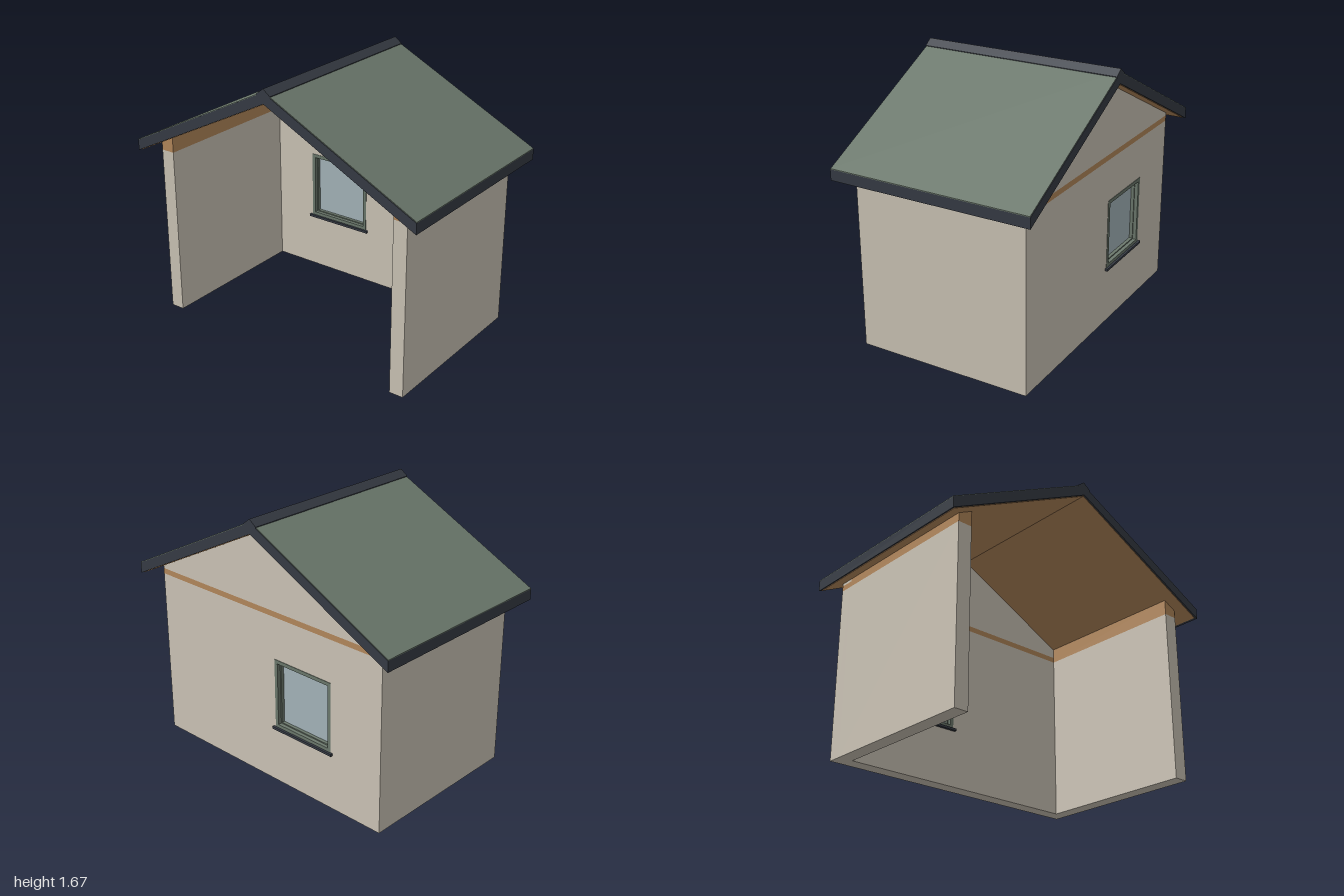
import * as THREE from 'three';

const material = (name, color, side = THREE.FrontSide) => {
  const m = new THREE.MeshStandardMaterial({ color, side });
  m.name = name;
  return m;
};

export function createModel() {
  const group = new THREE.Group();
  const plaster = material('plaster', 0xcec6b8);
  const wood = material('wood', 0xb5895c);
  const slate = material('slate', 0x373c45);
  const green = material('green', 0x6c796d);
  const glass = material('glass', 0xa6b6bc);

  const add = (name, geometry, mat) => {
    const mesh = new THREE.Mesh(geometry, mat);
    mesh.name = name;
    group.add(mesh);
    return mesh;
  };
  // Box given by its lower and upper limits on each axis
  const box = (name, mat, x0, x1, y0, y1, z0, z1) => {
    const mesh = add(name, new THREE.BoxGeometry(x1 - x0, y1 - y0, z1 - z0), mat);
    mesh.position.set((x0 + x1) / 2, (y0 + y1) / 2, (z0 + z1) / 2);
  };
  const outline = (points) => new THREE.Shape(points.map(([x, y]) => new THREE.Vector2(x, y)));
  const rect = (x0, x1, y0, y1) => outline([[x0, y0], [x1, y0], [x1, y1], [x0, y1]]);
  // Profile in the front plane, extruded from z0 to z1
  const prism = (name, mat, shape, z0, z1) => {
    const geometry = new THREE.ExtrudeGeometry(shape, { depth: z1 - z0, bevelEnabled: false });
    geometry.translate(0, 0, z0);
    add(name, geometry, mat);
  };

  const outer = 0.89, inner = 0.8, front = 0.555, back = -0.555, backInside = -0.465;
  const wallTop = 1.08, beamTop = 1.115, roofEnd = 0.645;
  const under = (x) => 1.58 - 0.5 * Math.abs(x); // roof underside
  const over = (x) => 1.652 - 0.5 * Math.abs(x); // roof top

  // Back wall with a window opening, its beam and the gable
  const wall = rect(-outer, outer, 0, wallTop);
  wall.holes.push(rect(-0.52, -0.08, 0.37, 0.815));
  prism('backWall', plaster, wall, back, backInside);
  box('backBeam', wood, -outer, outer, wallTop, beamTop, back, backInside);
  prism('gable', plaster, outline([
    [-outer, beamTop], [outer, beamTop], [outer, under(outer) - 0.004],
    [0, under(0) - 0.004], [-outer, under(outer) - 0.004],
  ]), back, backInside);

  // Side walls, wall plates and roof slopes, mirrored
  for (const s of [1, -1]) {
    const side = s > 0 ? 'left' : 'right';
    const [w0, w1] = s > 0 ? [inner, outer] : [-outer, -inner];
    box(side + 'Wall', plaster, w0, w1, 0, wallTop, backInside, front);
    prism(side + 'WallPlate', wood, outline([
      [w0, wallTop], [w1, wallTop], [w1, under(w1) - 0.002], [w0, under(w0) - 0.002],
    ]), backInside, front);
    prism(side + 'RoofSlab', slate, outline([
      [0, under(0)], [s, under(1)], [s, over(1) - 0.005], [0, over(0) - 0.005],
    ]), -roofEnd, roofEnd);
    prism(side + 'Roofing', green, outline([
      [0, over(0) - 0.005], [s, over(1) - 0.005], [s, over(1)], [0, over(0)],
    ]), -roofEnd + 0.003, roofEnd - 0.003);
    prism(side + 'RoofLining', wood, outline([
      [0, under(0) - 0.004], [s * 0.985, under(0.985) - 0.004],
      [s * 0.985, under(0.985)], [0, under(0)],
    ]), -roofEnd + 0.01, roofEnd - 0.01);
  }

  // Ridge cap
  prism('ridgeCap', slate, outline([
    [-0.048, 1.622], [0, 1.6], [0.048, 1.622], [0.048, 1.632], [0, 1.668], [-0.048, 1.632],
  ]), -roofEnd, roofEnd);

  // Window frame, inset sash, pane and sill
  const frame = rect(-0.52, -0.08, 0.37, 0.815);
  frame.holes.push(rect(-0.497, -0.103, 0.393, 0.792));
  prism('windowFrame', green, frame, back - 0.003, backInside + 0.003);
  const sash = rect(-0.497, -0.103, 0.393, 0.792);
  sash.holes.push(rect(-0.49, -0.11, 0.4, 0.785));
  prism('windowSash', green, sash, -0.535, -0.485);
  box('windowPane', glass, -0.49, -0.11, 0.4, 0.785, -0.514, -0.506);
  box('windowSill', slate, -0.535, -0.065, 0.357, 0.372, back - 0.017, backInside + 0.017);

  return group;
}
